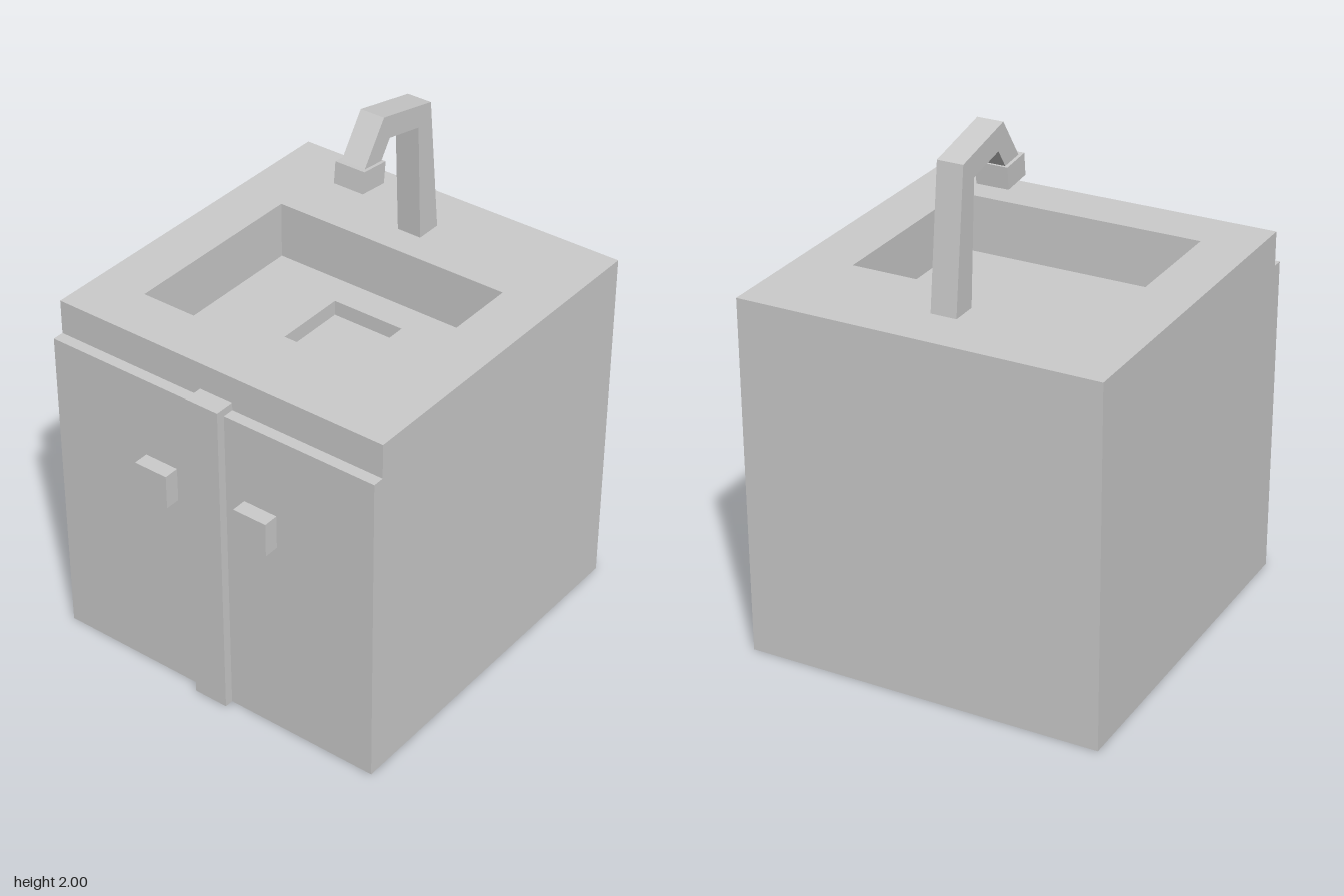
import * as THREE from 'three';

const grey = new THREE.MeshStandardMaterial({ color: 0xcccccc });
grey.name = 'plain grey';

export function createModel() {
  const model = new THREE.Group();
  model.name = 'sinkCabinet';

  const add = (name, geometry, parent = model) => {
    const mesh = new THREE.Mesh(geometry, grey);
    mesh.name = name;
    parent.add(mesh);
    return mesh;
  };
  const box = (name, x0, x1, y0, y1, z0, z1) =>
    add(name, new THREE.BoxGeometry(x1 - x0, y1 - y0, z1 - z0)
      .translate((x0 + x1) / 2, (y0 + y1) / 2, (z0 + z1) / 2));

  // Rectangle given in x and z, drawn so that extruding it goes upwards
  const rectPoints = ([x0, x1, z0, z1]) => [[x0, -z1], [x1, -z1], [x1, -z0], [x0, -z0]]
    .map(([x, y]) => new THREE.Vector2(x, y));
  const frame = (outer, hole, y0, y1) => {
    const shape = new THREE.Shape(rectPoints(outer));
    shape.holes.push(new THREE.Path(rectPoints(hole).reverse()));
    return new THREE.ExtrudeGeometry(shape, { depth: y1 - y0, bevelEnabled: false })
      .rotateX(-Math.PI / 2).translate(0, y0, 0);
  };

  // Cabinet, with the basin and drain cut into the top
  const plan = [-0.7, 0.7, -0.755, 0.65];
  box('cabinetBody', -0.7, 0.7, 0, 1.12, -0.755, 0.65);
  add('basinFloor', frame(plan, [-0.15, 0.15, -0.205, 0.09], 1.12, 1.18));
  add('basinWalls', frame(plan, [-0.495, 0.493, -0.33, 0.44], 1.18, 1.405));

  // Front: door panel, centre post and knobs
  box('doorPanel', -0.7, 0.7, 0, 1.27, 0.65, 0.695);
  box('centrePost', -0.07, 0.07, 0, 1.3, 0.65, 0.73);
  box('leftKnob', 0.15, 0.29, 0.815, 0.95, 0.69, 0.755);
  box('rightKnob', -0.29, -0.15, 0.815, 0.95, 0.69, 0.755);

  // Tap: bent square pipe drawn from the side (z, y)
  const tap = new THREE.Shape([
    [-0.555, 1.4], [-0.45, 1.4], [-0.425, 1.87], [-0.255, 1.905],
    [-0.2, 1.825], [-0.105, 1.835], [-0.22, 2], [-0.497, 1.94],
  ].map(([z, y]) => new THREE.Vector2(z, y)));
  add('tapPipe', new THREE.ExtrudeGeometry(tap, { depth: 0.1, bevelEnabled: false })
    .translate(0, 0, -0.05).rotateY(-Math.PI / 2));

  // Tilted spout head, open underneath
  const head = new THREE.Group();
  head.name = 'spoutHead';
  head.position.set(0, 1.799, -0.15);
  head.rotation.x = -0.1;
  model.add(head);
  add('spoutRim', frame([-0.0625, 0.0625, -0.0615, 0.0615], [-0.04, 0.04, -0.04, 0.04], -0.042, 0.01), head);
  add('spoutCap', new THREE.BoxGeometry(0.125, 0.032, 0.123).translate(0, 0.026, 0), head);

  return model;
}
